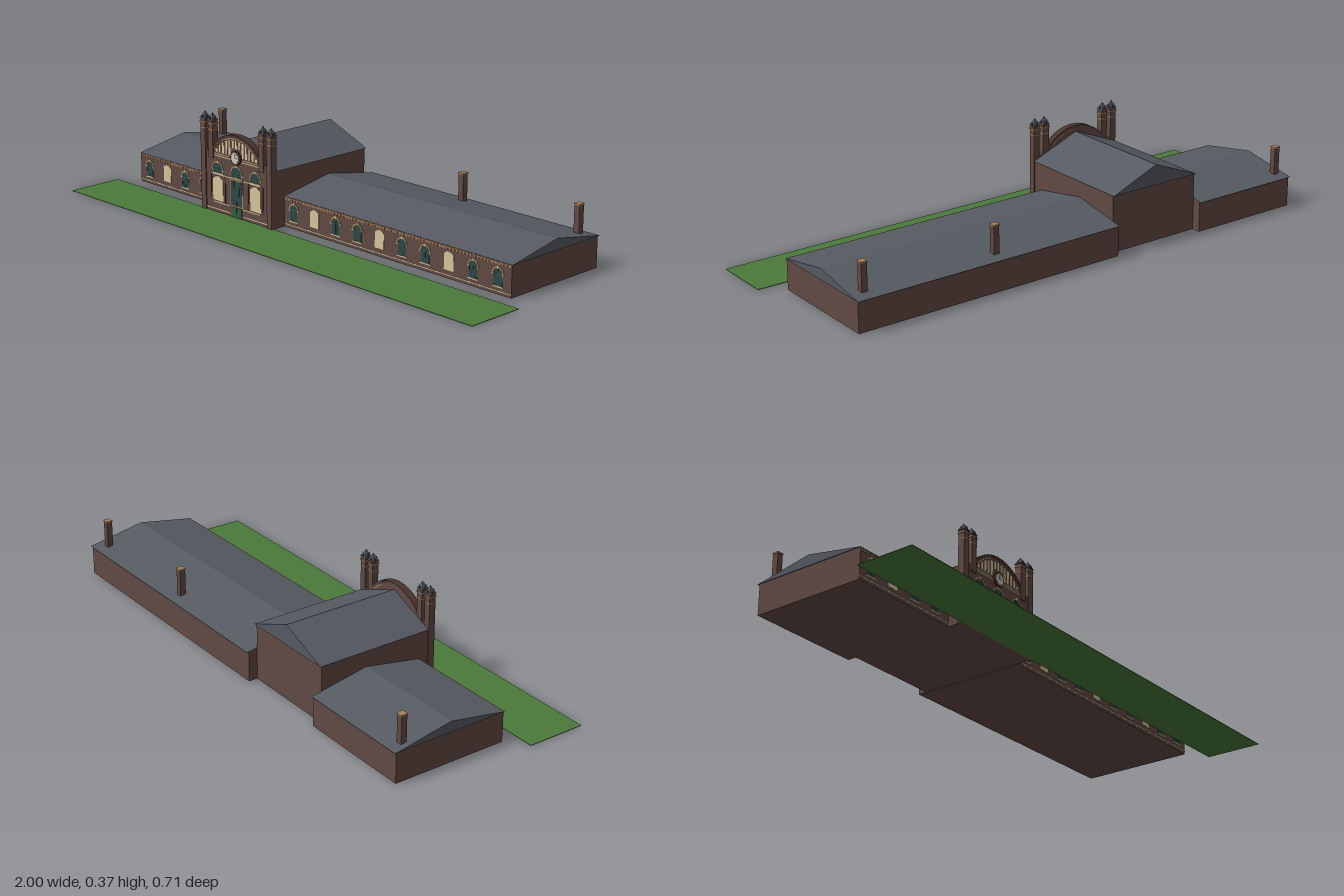
import * as THREE from 'three';

const mat = (color) => new THREE.MeshStandardMaterial({ color, flatShading: true });
const M = {
  brick: mat(0x624a44), dark: mat(0x4a3531), roof: mat(0x565a62), cream: mat(0xd9c49c),
  tan: mat(0xa9825a), glass: mat(0x2f4448), green: mat(0x2f5a40), lawn: mat(0x4a7a3a), white: mat(0xd5d8d8),
};

export function createModel() {
  const root = new THREE.Group();
  const HX = -0.31; // centre of the hall
  const add = (name, geo, material, x = 0, y = 0, z = 0, parent = root) => {
    const m = new THREE.Mesh(geo, material);
    m.name = name;
    m.position.set(x, y, z);
    parent.add(m);
    return m;
  };
  // box given by its limits
  const box = (name, material, x0, x1, y0, y1, z0, z1, parent = root) =>
    add(name, new THREE.BoxGeometry(x1 - x0, y1 - y0, z1 - z0), material,
      (x0 + x1) / 2, (y0 + y1) / 2, (z0 + z1) / 2, parent);
  const extrude = (shape, depth) =>
    new THREE.ExtrudeGeometry(shape, { depth, bevelEnabled: false, curveSegments: 10 });
  const gable = (half, rise) => new THREE.Shape([
    new THREE.Vector2(-half, 0), new THREE.Vector2(half, 0), new THREE.Vector2(0, rise)]);

  // round-headed outline standing on y = 0
  const archOutline = (w, h, Type = THREE.Shape) => {
    const s = new Type();
    s.moveTo(-w / 2, 0);
    s.lineTo(w / 2, 0);
    s.lineTo(w / 2, h - w / 2);
    s.absarc(0, h - w / 2, w / 2, 0, Math.PI, false);
    s.lineTo(-w / 2, 0);
    return s;
  };
  // half-ring arch moulding centred on the spring line
  const archBand = (r0, r1) => {
    const s = new THREE.Shape();
    s.absarc(0, 0, r1, 0, Math.PI, false);
    s.absarc(0, 0, r0, Math.PI, 0, true);
    return s;
  };
  const archedWindow = (x, y, z, w, h, name = 'window') => {
    const g = new THREE.Group();
    g.name = name;
    g.position.set(x, y, z);
    root.add(g);
    add('pane', extrude(archOutline(w, h), 0.0006), M.glass, 0, 0, 0, g);
    const frame = archOutline(w, h);
    frame.holes.push(new THREE.Path(archOutline(w - 0.006, h - 0.006).getPoints(10)
      .map((p) => new THREE.Vector2(p.x, p.y + 0.003))));
    add('frame', extrude(frame, 0.001), M.green, 0, 0, 0, g);
    box('mullion', M.green, -0.001, 0.001, 0, h - 0.002, 0, 0.001, g);
    box('transom', M.green, -w / 2, w / 2, h - w / 2 - 0.001, h - w / 2 + 0.001, 0, 0.001, g);
    add('arch', extrude(archBand(w / 2, w / 2 + 0.005), 0.0016), M.tan, 0, h - w / 2, 0, g);
    box('keystone', M.cream, -0.003, 0.003, h - 0.001, h + 0.008, 0, 0.002, g);
    for (const s of [-1, 1])
      box('springer', M.cream, s * (w / 2 + 0.003) - 0.003, s * (w / 2 + 0.003) + 0.003,
        h - w / 2 - 0.004, h - w / 2, 0, 0.002, g);
    box('sill', M.cream, -w / 2 - 0.004, w / 2 + 0.004, -0.004, 0, 0, 0.002, g);
  };
  const blindPanel = (x, y, z, w, h) => {
    add('blindPanel', extrude(archOutline(w, h + 0.002), 0.0004), M.tan, x, y, z);
    const s = new THREE.Shape();
    s.moveTo(-w / 2, 0);
    s.lineTo(w / 2, 0);
    s.lineTo(w / 2, h * 0.86);
    s.quadraticCurveTo(0, h * 1.14, -w / 2, h * 0.86);
    add('blindPanelFace', extrude(s, 0.001), M.cream, x, y, z);
  };

  // lawn
  box('lawn', M.lawn, -1, 1, 0, 0.002, 0.14, 0.357);

  // wings with gabled roofs and decorated fronts
  const wing = (name, x0, x1, overL, overR, windows) => {
    box(name + 'Walls', M.brick, x0, x1, 0, 0.112, -0.348, 0.083);
    const len = x1 - x0 + overL + overR;
    const roof = add(name + 'Roof', extrude(gable(0.2205, 0.04), len), M.roof, x0 - overL, 0.111, -0.1345);
    roof.rotation.y = Math.PI / 2;
    const z = 0.083;
    box(name + 'Plinth', M.cream, x0, x1, 0.01, 0.013, z, z + 0.001);
    box(name + 'Cornice', M.tan, x0, x1, 0.106, 0.109, z, z + 0.0015);
    const n = Math.round((x1 - x0) / 0.0149);
    for (let i = 0; i < n; i++) {
      const x = x0 + ((i + 0.5) * (x1 - x0)) / n;
      box('dentil', M.tan, x - 0.0035, x + 0.0035, 0.1, 0.106, z, z + 0.0012);
    }
    windows.forEach(([x, blind]) => {
      if (blind) blindPanel(x, 0.028, z, 0.042, 0.064);
      else archedWindow(x, 0.028, z, 0.038, 0.06);
    });
  };
  const row = (start, count, blinds) =>
    Array.from({ length: count }, (_, i) => [start + i * 0.1045, blinds.includes(i)]);
  wing('leftWing', -0.125, 0.92, 0, 0.003, row(-0.077, 10, [1, 4, 7]));
  wing('rightWing', -0.926, -0.494, 0.003, 0, row(-0.874, 4, [1]));

  // chimneys
  for (const x of [-0.896, 0.365, 0.873]) {
    box('chimney', M.brick, x - 0.011, x + 0.011, 0.1, 0.217, -0.315, -0.293);
    box('chimneyCap', M.tan, x - 0.0125, x + 0.0125, 0.217, 0.222, -0.3165, -0.2915);
  }

  // hall
  box('hallWalls', M.brick, HX - 0.184, HX + 0.184, 0, 0.21, -0.315, 0.123);
  add('hallRoof', extrude(gable(0.187, 0.075), 0.445), M.roof, HX, 0.2095, -0.322);

  // facade wall with segmental gable
  const R = 0.158, CY = 0.147, Z = 0.143;
  const edge = (r, a0, n = 20) => Array.from({ length: n + 1 }, (_, i) => {
    const a = a0 + ((Math.PI - 2 * a0) * i) / n;
    return new THREE.Vector2(r * Math.cos(a), CY + r * Math.sin(a));
  });
  const A0 = Math.acos(0.125 / R);
  add('facade', extrude(new THREE.Shape([
    new THREE.Vector2(-0.18, 0), new THREE.Vector2(0.18, 0), new THREE.Vector2(0.18, 0.226),
    new THREE.Vector2(0.125, 0.226), ...edge(R, A0), new THREE.Vector2(-0.125, 0.226),
    new THREE.Vector2(-0.18, 0.226)]), Z - 0.122), M.brick, HX, 0, 0.122);
  const moulding = (r0, r1, z1, material, name) => add(name, extrude(new THREE.Shape(
    [...edge(r1, A0), ...edge(r0, A0).reverse()]), z1 - 0.122), material, HX, 0, 0.122);
  moulding(R - 0.009, R + 0.002, 0.147, M.dark, 'gableCoping');
  moulding(R - 0.013, R - 0.009, 0.1455, M.tan, 'gableTrim');

  // upright stripes in the gable
  for (let i = -6; i <= 6; i++) {
    const dx = i * 0.0175;
    const top = CY + Math.sqrt((R - 0.018) ** 2 - dx * dx);
    const bottom = Math.abs(i) < 2 ? 0.257 : 0.228;
    if (top - bottom > 0.008)
      box('gableStripe', M.cream, HX + dx - 0.0045, HX + dx + 0.0045, bottom, top, Z, Z + 0.001);
  }

  // clock
  const disc = (name, r, z1, material) =>
    add(name, new THREE.CylinderGeometry(r, r, z1 - Z, 24), material, HX, 0.224, (Z + z1) / 2).rotation.x = Math.PI / 2;
  disc('clockSurround', 0.027, 0.148, M.dark);
  disc('clockRim', 0.022, 0.1495, M.tan);
  disc('clockFace', 0.018, 0.1505, M.white);
  box('clockHand', M.dark, HX - 0.001, HX + 0.001, 0.224, 0.238, 0.15, 0.151);
  box('clockHand', M.dark, HX, HX + 0.01, 0.223, 0.225, 0.15, 0.151);

  // string courses, broken around the clock and door
  for (const s of [-1, 1]) {
    const band = (name, material, a, b, y0, y1) =>
      box(name, material, HX + Math.min(s * a, s * b), HX + Math.max(s * a, s * b), y0, y1, Z, Z + 0.0015);
    band('upperBand', M.cream, 0.028, 0.12, 0.212, 0.216);
    band('middleBand', M.cream, 0.035, 0.125, 0.143, 0.147);
    band('lowerBand', M.cream, 0.035, 0.125, 0.038, 0.042);
    band('plinthBand', M.cream, 0.035, 0.18, 0.012, 0.016);
    band('frieze', M.cream, 0.035, 0.115, 0.22, 0.223);
    blindPanel(HX + s * 0.1, 0.046, Z, 0.055, 0.09);
    for (const d of [0.062, 0.138])
      band('panelPilaster', M.dark, d - 0.003, d + 0.003, 0.042, 0.143);
    archedWindow(HX + s * 0.1, 0.15, Z, 0.05, 0.038, 'upperWindow');
  }

  // entrance bay
  archedWindow(HX, 0.15, Z, 0.054, 0.04, 'upperWindow');
  box('entranceFrame', M.tan, HX - 0.033, HX + 0.033, 0.042, 0.144, Z, Z + 0.001);
  box('entranceGlass', M.glass, HX - 0.029, HX + 0.029, 0.046, 0.138, Z, Z + 0.0016);
  for (const dx of [-0.0145, 0, 0.0145])
    box('entranceMullion', M.green, HX + dx - 0.001, HX + dx + 0.001, 0.046, 0.138, Z, Z + 0.0022);
  box('entranceTransom', M.green, HX - 0.029, HX + 0.029, 0.113, 0.116, Z, Z + 0.0022);
  box('door', M.green, HX - 0.026, HX + 0.026, 0, 0.04, Z, Z + 0.0016);
  box('doorGap', M.dark, HX - 0.0008, HX + 0.0008, 0, 0.04, Z, Z + 0.0022);

  // paired turrets at the corners
  for (const s of [-1, 1]) for (const d of [0.134, 0.175]) {
    const g = new THREE.Group();
    g.name = 'turret';
    g.position.set(HX + s * d, 0, 0.135);
    root.add(g);
    const block = (name, material, half, y0, y1) => box(name, material, -half, half, y0, y1, -half, half, g);
    // inner turrets stand on the wall, outer ones reach the ground
    block('shaft', M.brick, 0.0125, d > 0.15 ? 0 : 0.2, 0.325);
    block('lowerCollar', M.tan, 0.0133, 0.303, 0.307);
    block('upperCollar', M.tan, 0.0148, 0.325, 0.329);
    block('lantern', M.brick, 0.0125, 0.329, 0.338);
    const cap = add('cap', new THREE.ConeGeometry(0.0148 * Math.SQRT2, 0.028, 4), M.roof, 0, 0.352, 0, g);
    cap.rotation.y = Math.PI / 4;
    for (let k = 0; k < 4; k++) {
      const dormer = new THREE.Group();
      dormer.name = 'gablet';
      dormer.rotation.y = (k * Math.PI) / 2;
      g.add(dormer);
      add('gabletFace', extrude(gable(0.01, 0.014), 0.006), M.dark, 0, 0.336, 0.0085, dormer);
    }
  }
  return root;
}
